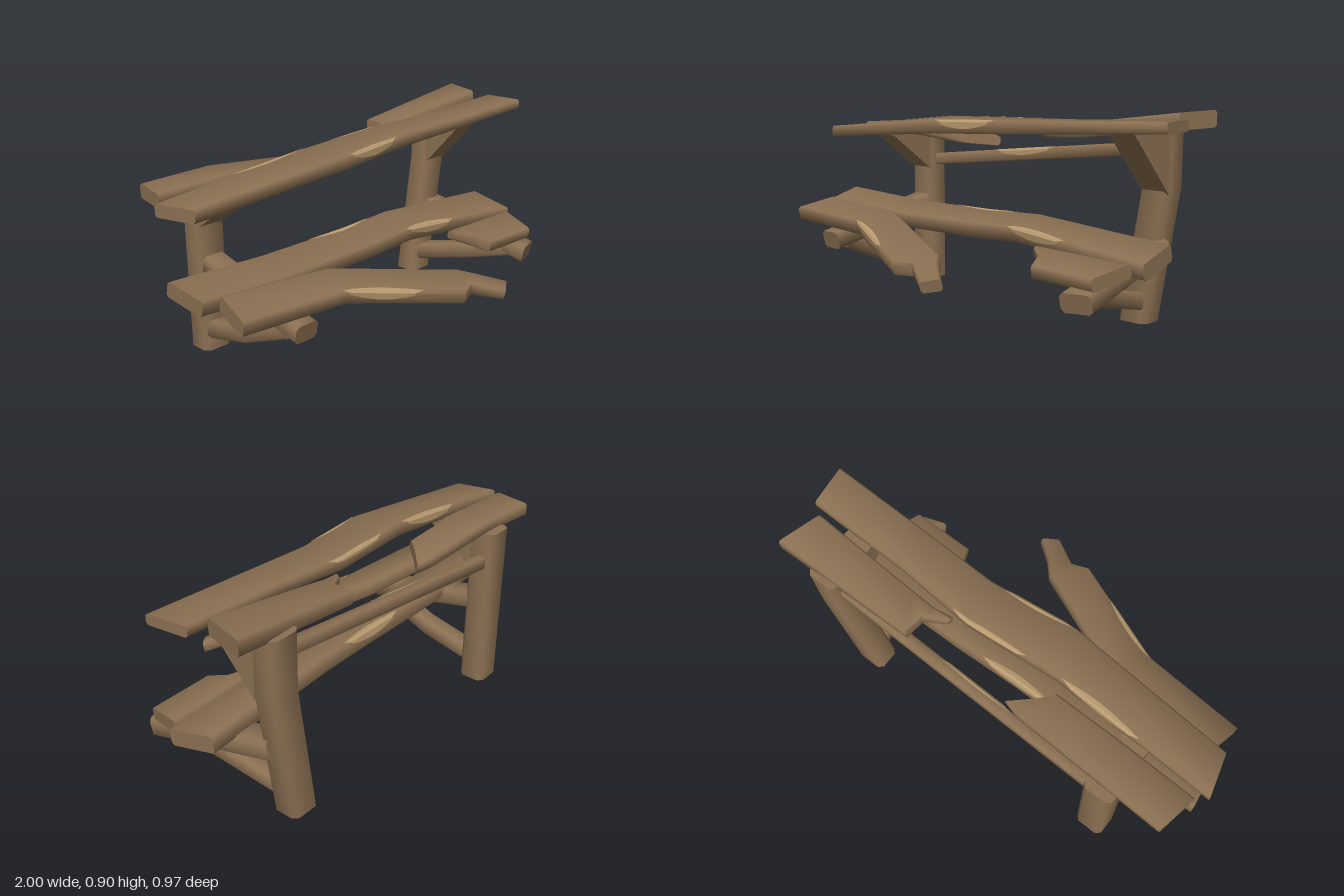
import * as THREE from 'three';
import { toCreasedNormals } from 'three/addons/utils/BufferGeometryUtils.js';

const V = (x, y, z) => new THREE.Vector3(x, y, z);

export function createModel() {
  const group = new THREE.Group();
  const wood = new THREE.MeshStandardMaterial({ color: 0x8b7052 });
  wood.name = 'weathered wood';
  const bare = new THREE.MeshStandardMaterial({ color: 0xb89a6e, side: THREE.DoubleSide });
  bare.name = 'bare wood';

  function add(name, geo, mat) {
    const mesh = new THREE.Mesh(geo, mat);
    mesh.name = name;
    group.add(mesh);
    return mesh;
  }

  // Turns the four corners of a section into a ring with softened corners
  function bevel(corners, b) {
    const ring = [];
    corners.forEach((c, i) => {
      for (const n of [corners[(i + 3) % 4], corners[(i + 1) % 4]]) {
        ring.push(c.clone().add(n.clone().sub(c).setLength(b)));
      }
    });
    return ring;
  }

  // Closed solid through a row of four-cornered sections
  function loft(name, sections, b = 0.01) {
    const tris = [];
    const rings = sections.map((s) => bevel(s, b));
    const n = 8;
    for (let k = 0; k < rings.length - 1; k++) {
      const p = rings[k], q = rings[k + 1];
      for (let i = 0; i < n; i++) {
        const j = (i + 1) % n;
        tris.push([p[i], p[j], q[j]], [p[i], q[j], q[i]]);
      }
    }
    const first = rings[0], last = rings[rings.length - 1];
    for (let i = 1; i < n - 1; i++) {
      tris.push([first[0], first[i + 1], first[i]], [last[0], last[i], last[i + 1]]);
    }
    // Keep all faces outward whichever way the sections run
    const mid = rings.flat().reduce((a, p) => a.add(p), V(0, 0, 0)).divideScalar(rings.length * n);
    let volume = 0;
    for (const [a, c, d] of tris) {
      volume += a.clone().sub(mid).dot(c.clone().sub(mid).cross(d.clone().sub(mid)));
    }
    const pts = tris.flatMap(([a, c, d]) => (volume < 0 ? [a, d, c] : [a, c, d]));
    const geo = new THREE.BufferGeometry().setFromPoints(pts);
    return add(name, toCreasedNormals(geo, 0.9), wood);
  }

  // Straight timber through points; u and v are the half-size directions of its section
  function timber(name, points, u, v, b) {
    return loft(name, points.map((p) => [[1, 1], [-1, 1], [-1, -1], [1, -1]].map(([i, j]) =>
      p.clone().addScaledVector(u, i).addScaledVector(v, j))), b);
  }

  // Plank from stations: back x, z, top y, then front x, z, top y, then thickness
  function plank(name, stations) {
    const sections = stations.map(([bx, bz, by, fx, fz, fy, t]) => {
      const back = V(bx, by, bz), front = V(fx, fy, fz);
      const down = V(0, -(fz - bz), fy - by).setLength(t);
      return [back, front, front.clone().add(down), back.clone().add(down)];
    });
    loft(name, sections);
    return sections;
  }

  // Lens-shaped worn patch folded over a top edge (0 = back, 1 = front)
  function chip(name, sections, edge, x0, x1, wTop, wSide) {
    const N = 8, rows = [];
    for (let i = 0; i <= N; i++) {
      const x = x0 + (x1 - x0) * i / N;
      let k = 0;
      while (k < sections.length - 2 && sections[k + 1][edge].x < x) k++;
      const a = sections[k], c = sections[k + 1];
      const t = (x - a[edge].x) / (c[edge].x - a[edge].x);
      const at = (m) => a[m].clone().lerp(c[m], t);
      const e = at(edge);
      const across = at(1 - edge).sub(e).normalize();
      const down = at(edge ? 2 : 3).sub(e).normalize();
      const s = Math.sin(Math.PI * i / N), g = 0.002;
      rows.push([
        e.clone().addScaledVector(across, 0.008 + wTop * s).addScaledVector(down, -g),
        e.clone().addScaledVector(across, 0.008).addScaledVector(down, -g),
        e.clone().addScaledVector(across, -g).addScaledVector(down, 0.008),
        e.clone().addScaledVector(across, -g).addScaledVector(down, 0.008 + wSide * s),
      ]);
      // Pinch the ends to a point
      if (i === 0 || i === N) rows[i] = rows[i].map(() => rows[i][1]);
    }
    const pts = [];
    for (let i = 0; i < N; i++) for (let j = 0; j < 3; j++) {
      const p = rows[i], q = rows[i + 1];
      const quad = [p[j], p[j + 1], q[j + 1], p[j], q[j + 1], q[j]];
      pts.push(...(edge ? quad : quad.reverse()));
    }
    const geo = new THREE.BufferGeometry().setFromPoints(pts);
    geo.computeVertexNormals();
    add(name, geo, bare);
  }

  // Posts: one upright, one leaning and bent
  const X = V(0.067, 0, 0), Z = V(0, 0, 0.06);
  timber('rightPost', [V(-0.648, 0, -0.425), V(-0.648, 0.745, -0.425)], X, Z, 0.02);
  timber('leftPost', [V(0.64, 0, -0.425), V(0.735, 0.58, -0.425), V(0.738, 0.83, -0.425)],
    V(0.069, 0, 0), Z, 0.02);

  // Triangular brackets under the upper planks
  function bracket(name, x, w, topY, tipY) {
    const s = new THREE.Shape([[0.38, 0.555], [0.13, tipY], [0.13, topY], [0.38, topY]]
      .map(([z, y]) => new THREE.Vector2(z, y)));
    const geo = new THREE.ExtrudeGeometry(s, { depth: w, bevelEnabled: false });
    geo.translate(0, 0, -w / 2).rotateY(Math.PI / 2);
    add(name, geo, wood).position.x = x;
  }
  bracket('rightBracket', -0.648, 0.12, 0.755, 0.735);
  bracket('leftBracket', 0.738, 0.125, 0.828, 0.815);

  // Rail between the posts
  const rail = timber('rail', [V(-0.62, 0.6, -0.43), V(0.7, 0.738, -0.43)],
    V(0, 0, 0.026), V(0, 0.028, 0), 0.008);
  rail.geometry.computeBoundingBox();
  const railEdge = [[-0.62, 0.6], [0.7, 0.738]].map(([x, y]) => [
    V(x, y + 0.028, -0.456), V(x, y + 0.028, -0.404), V(x, y - 0.028, -0.404), V(x, y - 0.028, -0.456)]);
  chip('railWear', railEdge, 1, -0.18, 0.18, 0.006, 0.022);

  // Sagging seat supports and their braces
  const tall = V(0, 0.04, 0.01);
  timber('rightSeatSupport', [V(-0.648, 0.395, -0.4), V(-0.65, 0.262, 0.21)], V(0.055, 0, 0), tall, 0.014);
  timber('leftSeatSupport', [V(0.725, 0.33, -0.4), V(0.78, 0.2, 0.19)], V(0.06, 0, -0.02), tall, 0.014);
  timber('rightBrace', [V(-0.655, 0.09, -0.4), V(-0.655, 0.15, -0.13), V(-0.655, 0.26, 0.14)],
    V(0.045, 0, 0), V(0, 0.038, 0), 0.012);
  timber('leftBrace', [V(0.65, 0.09, -0.4), V(0.7, 0.165, -0.08), V(0.77, 0.215, 0.13)],
    V(0.045, 0, -0.008), V(0, 0.038, 0), 0.012);

  // Upper planks: a whole one in front, a broken one behind
  const top = plank('upperFrontPlank', [
    [-1, -0.23, 0.765, -0.95, -0.045, 0.768, 0.055],
    [-0.265, -0.222, 0.84, -0.2, -0.01, 0.832, 0.06],
    [0.16, -0.26, 0.846, 0.19, -0.06, 0.843, 0.058],
    [0.51, -0.238, 0.855, 0.51, -0.055, 0.853, 0.05],
    [0.97, -0.24, 0.875, 0.995, -0.055, 0.873, 0.045],
  ]);
  chip('upperFrontWear', top, 1, -0.19, 0.13, 0.012, 0.03);
  chip('upperBackWear', top, 0, -0.66, -0.28, 0.018, 0.03);
  chip('upperBackWearSmall', top, 0, -0.12, 0.24, 0.008, 0.012);

  plank('upperBackPlankRight', [
    [-0.92, -0.448, 0.78, -0.955, -0.268, 0.78, 0.06],
    [-0.6, -0.44, 0.79, -0.6, -0.262, 0.79, 0.055],
    [-0.22, -0.422, 0.757, -0.29, -0.256, 0.765, 0.052],
    [-0.14, -0.402, 0.742, -0.24, -0.315, 0.752, 0.045],
  ]);
  plank('upperBackPlankLeft', [
    [0.23, -0.295, 0.805, 0.225, -0.265, 0.803, 0.04],
    [0.32, -0.35, 0.822, 0.31, -0.282, 0.818, 0.055],
    [0.325, -0.442, 0.825, 0.41, -0.283, 0.835, 0.065],
    [0.955, -0.467, 0.903, 0.905, -0.273, 0.897, 0.07],
  ]);

  // Seat planks: a whole one behind, a broken one in front
  const seat = plank('seatBackPlank', [
    [-0.975, -0.22, 0.448, -0.95, -0.03, 0.405, 0.07],
    [-0.5, -0.23, 0.425, -0.5, -0.035, 0.385, 0.07],
    [-0.05, -0.235, 0.425, 0, -0.045, 0.388, 0.07],
    [0.24, -0.25, 0.433, 0.25, -0.06, 0.395, 0.07],
    [0.9, -0.25, 0.385, 0.92, -0.035, 0.335, 0.07],
  ]);
  chip('seatFrontWear', seat, 1, 0.2, 0.52, 0.02, 0.03);
  chip('seatBackWear', seat, 0, -0.25, 0.12, 0.02, 0.03);

  const front = plank('seatFrontPlankRight', [
    [-0.89, 0, 0.425, -0.93, 0.19, 0.385, 0.066],
    [-0.39, 0.045, 0.412, -0.44, 0.225, 0.375, 0.066],
    [0.15, 0.285, 0.318, 0.035, 0.435, 0.288, 0.062],
    [0.21, 0.35, 0.298, 0.11, 0.402, 0.288, 0.055],
    [0.31, 0.43, 0.26, 0.24, 0.483, 0.245, 0.05],
  ]);
  chip('seatFrontEdgeWear', front, 1, -0.46, -0.14, 0.018, 0.03);

  plank('seatFrontPlankLeft', [
    [0.425, -0.005, 0.352, 0.435, 0.035, 0.343, 0.04],
    [0.49, -0.008, 0.35, 0.5, 0.085, 0.325, 0.055],
    [0.53, -0.01, 0.348, 0.535, 0.167, 0.305, 0.06],
    [0.875, -0.018, 0.335, 0.83, 0.167, 0.298, 0.056],
  ]);

  return group;
}
